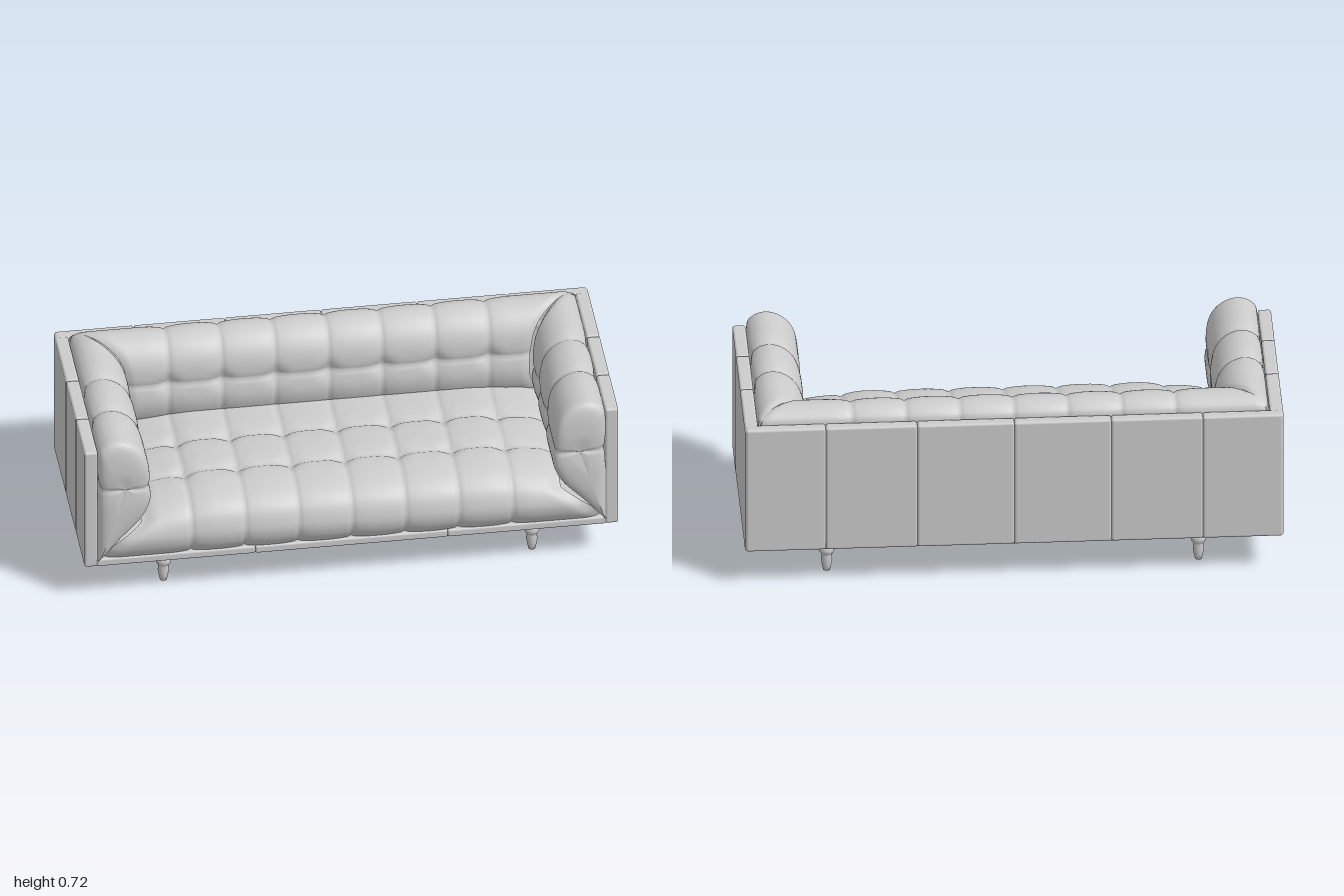
import * as THREE from 'three';
import { RoundedBoxGeometry } from 'three/addons/geometries/RoundedBoxGeometry.js';

const grey = new THREE.MeshStandardMaterial({ color: 0xcccccc });
const fabric = new THREE.MeshStandardMaterial({ color: 0xcccccc, side: THREE.DoubleSide });
const { clamp, smoothstep } = THREE.MathUtils;

const columnSeams = [-0.6, -0.4, -0.2, 0, 0.2, 0.4, 0.6];
const depthSeams = [-0.04, 0.165];

const curve = (pts) => new THREE.SplineCurve(pts.map(([a, b]) => new THREE.Vector2(a, b)));

// Bolster section shared by back and arms: (distance from shell, height)
const bolster = curve([[0, 0.18], [0.08, 0.275], [0.16, 0.365], [0.197, 0.45], [0.195, 0.55], [0.178, 0.64],
  [0.135, 0.695], [0.075, 0.717], [0.02, 0.697], [0, 0.64], [0, 0.4], [0, 0.18]]);
// Seat section: (z, height), up the front and back over the top
const seatLine = curve([[0.37, 0.18], [0.405, 0.23], [0.414, 0.29], [0.385, 0.36], [0.31, 0.402],
  [0.17, 0.415], [0, 0.415], [-0.25, 0.415]]);

const bump = (t, w) => Math.exp(-((t / w) ** 2));
const nearest = (t, lines) => Math.min(...lines.map((l) => Math.abs(t - l)));

// Depth of the stitched lines and of the tufts where they cross
function tufting(a, linesA, b, linesB) {
  const da = nearest(a, linesA), db = nearest(b, linesB);
  const stitch = (d) => 0.007 * bump(d, 0.009) + 0.006 * bump(d, 0.045);
  return Math.max(stitch(da), stitch(db)) + 0.018 * bump(Math.hypot(da, db), 0.035);
}

// Grid whose vertices are placed by rule(u, sectionPoint, sectionNormal, target)
function upholstery(name, section, nu, nv, rule) {
  const g = new THREE.PlaneGeometry(1, 1, nu, nv);
  const { position, uv } = g.attributes;
  const rows = [];
  for (let j = 0; j <= nv; j++) {
    const t = section.getTangentAt(j / nv);
    rows.push({ p: section.getPointAt(j / nv), n: new THREE.Vector2(t.y, -t.x) });
  }
  const out = new THREE.Vector3();
  for (let i = 0; i < position.count; i++) {
    const { p, n } = rows[Math.round(uv.getY(i) * nv)];
    rule(uv.getX(i), p, n, out);
    position.setXYZ(i, out.x, out.y, out.z);
  }
  g.computeVertexNormals();
  const mesh = new THREE.Mesh(g, fabric);
  mesh.name = name;
  return mesh;
}

function backCushion() {
  return upholstery('backCushion', bolster, 190, 110, (u, p, n, out) => {
    const end = 0.95 - p.x;
    const x = clamp(-0.95 + 1.9 * u, -end, end);
    const h = tufting(x, columnSeams, p.y, [0.545]) + 0.01 * bump(end - Math.abs(x), 0.015);
    out.set(x, p.y - n.y * h, -0.38 + p.x - n.x * h);
  });
}

// Arm bolster: mitred into the back, closed by a soft rounded front
function armCushion(side) {
  const name = side > 0 ? 'leftArmCushion' : 'rightArmCushion';
  return upholstery(name, bolster, 94, 110, (u, p, n, out) => {
    const t = side > 0 ? u : 1 - u;
    const a = clamp((t * 94 - 74) / 20, 0, 1) * Math.PI / 2;
    const s = Math.sqrt(Math.max(0, Math.cos(a)));
    const start = -0.38 + p.x;
    let z = Math.max(start, -0.38 + 0.01 * Math.min(t * 94, 74));
    const mitre = 0.01 * bump(z - start, 0.015);
    z += 0.06 * Math.sqrt(Math.sin(a));
    const d = 0.1 + (p.x - 0.1) * s;
    const y = 0.51 + (p.y - 0.51) * s;
    const h = tufting(z, depthSeams, y, [0.51]) + mitre;
    out.set(side * (0.95 - d + n.x * h * Math.cos(a)), y - n.y * h * Math.cos(a), z - h * Math.sin(a));
  });
}

function seatCushion() {
  return upholstery('seatCushion', seatLine, 190, 80, (u, p, n, out) => {
    const end = 0.95 - 0.165 * clamp((p.y - 0.18) / 0.19, 0, 1);
    const x = clamp(-0.95 + 1.9 * u, -end, end);
    const h = tufting(x, columnSeams, p.x, [-0.03, 0.17]) + 0.02 * bump(end - Math.abs(x), 0.035);
    const drop = 0.03 * smoothstep(Math.abs(x), 0.5, 0.8) * smoothstep(p.y, 0.25, 0.4);
    out.set(x, p.y - n.y * h - drop, p.x - n.x * h);
  });
}

// Rounded box given by its lower and upper corners
function panel(name, min, max, radius = 0.01) {
  const size = max.map((v, i) => v - min[i]);
  const mesh = new THREE.Mesh(new RoundedBoxGeometry(...size, 3, radius), grey);
  mesh.position.set(...max.map((v, i) => (v + min[i]) / 2));
  mesh.name = name;
  return mesh;
}

// Calls make(from, to) for each gap between neighbouring values
const spans = (values, make) => values.slice(1).map((v, i) => make(values[i], v));

function shell() {
  const g = new THREE.Group();
  g.name = 'shell';
  for (const side of [-1, 1]) {
    const xs = side > 0 ? [0.95, 1] : [-1, -0.95];
    g.add(...spans([-0.416, -0.1, 0.148, 0.378], (a, b) =>
      panel('sidePanel', [xs[0], 0.152, a], [xs[1], 0.668, b])));
  }
  g.add(...spans([-0.997, -0.7, -0.36, 0, 0.36, 0.7, 0.997], (a, b) =>
    panel('backPanel', [a, 0.152, -0.42], [b, 0.67, -0.376])));
  g.add(...spans([-0.955, -0.36, 0.36, 0.955], (a, b) =>
    panel('frontRail', [a, 0.153, 0.32], [b, 0.185, 0.38], 0.008)));
  g.add(panel('base', [-0.99, 0.15, -0.412], [0.99, 0.182, 0.37], 0.005));
  return g;
}

// Turned leg with two beads and a tapered foot
function leg(x, z) {
  const profile = [[0, 0], [0.013, 0], [0.017, 0.02], [0.021, 0.045], [0.019, 0.066], [0.021, 0.07],
    [0.027, 0.078], [0.03, 0.09], [0.027, 0.101], [0.023, 0.106], [0.03, 0.11], [0.039, 0.12],
    [0.044, 0.135], [0.043, 0.148], [0.041, 0.156]];
  const mesh = new THREE.Mesh(
    new THREE.LatheGeometry(profile.map(([r, y]) => new THREE.Vector2(r, y)), 28), grey);
  mesh.position.set(x, 0, z);
  mesh.name = 'leg';
  return mesh;
}

export function createModel() {
  const model = new THREE.Group();
  model.name = 'sofa';
  model.add(shell(), backCushion(), armCushion(1), armCushion(-1), seatCushion());
  for (const x of [-0.69, 0.69]) for (const z of [-0.296, 0.275]) model.add(leg(x, z));
  return model;
}
